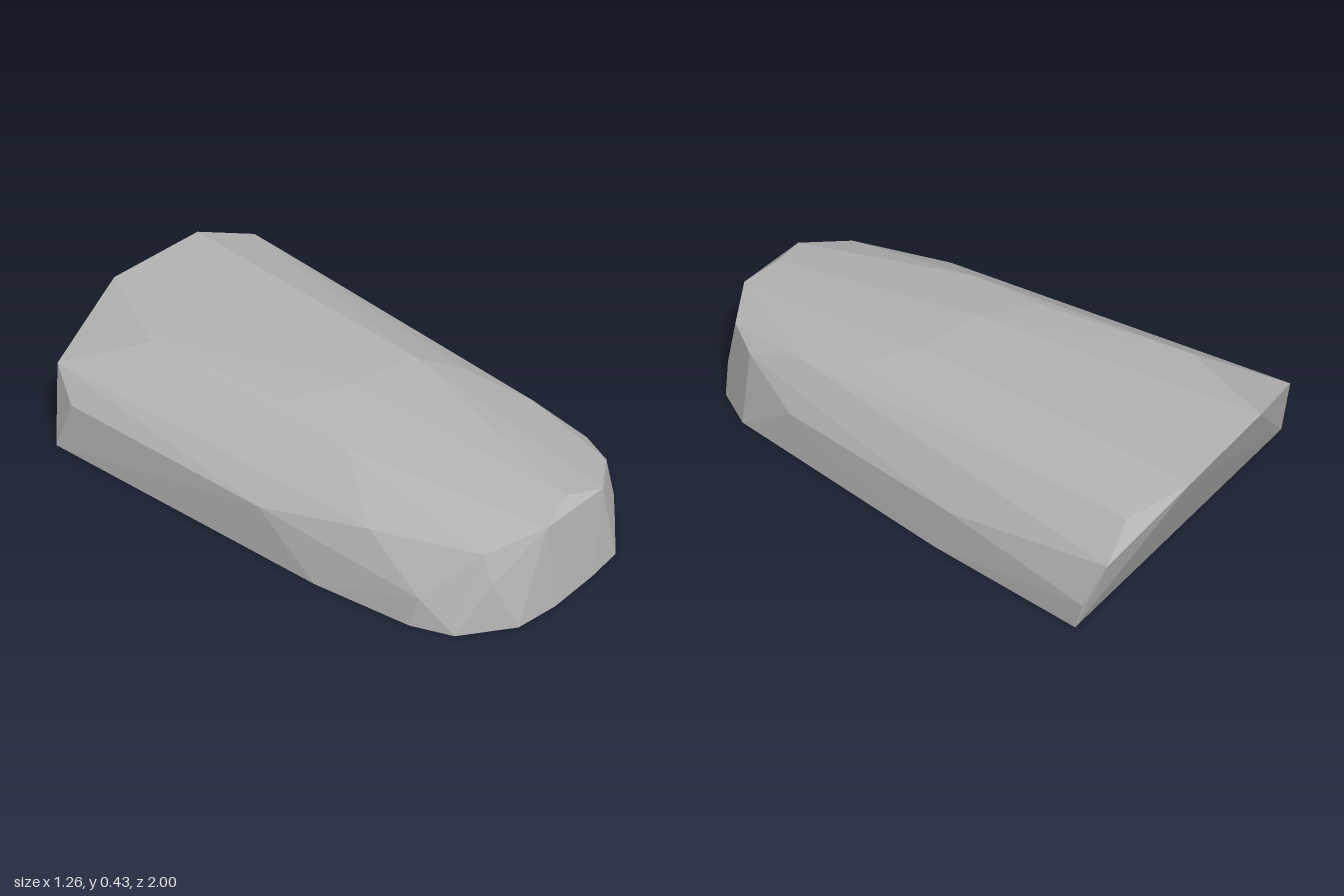
import * as THREE from 'three';
import { ConvexGeometry } from 'three/addons/geometries/ConvexGeometry.js';

export function createModel() {
  const group = new THREE.Group();
  const grey = new THREE.MeshStandardMaterial({ color: 0xb4b4b4 });
  grey.name = 'plain grey';

  // flat underside outline, [x, z]
  const base = [
    [-0.63, -0.84], [-0.55, 0.35], [-0.49, 0.71], [-0.43, 0.85], [-0.26, 0.975], [-0.1, 1],
    [0.1, 1], [0.24, 0.99], [0.41, 0.86], [0.495, 0.7], [0.6, -0.25], [0.63, -0.84],
  ].map(([x, z]) => [x, 0, z]);

  // overhanging rear rim, [x, y, z]
  const rear = [
    [-0.6, 0.195, -0.77], [-0.54, 0.285, -0.9], [-0.17, 0.425, -0.995], [0.255, 0.42, -1],
    [0.455, 0.36, -0.9], [0.57, 0.25, -0.91], [0.625, 0.1, -0.86],
  ];

  // rounded sides and crown
  const body = [
    [-0.34, 0.405, -0.62], [-0.55, 0.19, 0.1], [-0.27, 0.4, -0.05], [-0.3, 0.375, 0.27],
    [-0.06, 0.418, 0.08], [0.2, 0.415, 0.12], [0.32, 0.36, 0.27], [0.39, 0.31, 0.5],
    [0.58, 0.16, -0.3], [0.5, 0.155, 0.46], [-0.45, 0.26, 0.5],
  ];

  // blunt nose
  const nose = [
    [-0.47, 0.115, 0.73], [-0.32, 0.28, 0.865], [-0.13, 0.33, 0.965], [0.02, 0.35, 0.925],
    [0.165, 0.315, 0.965], [0.335, 0.275, 0.855], [0.415, 0.25, 0.715], [0.37, 0.115, 0.875],
    [-0.32, 0.18, 0.905],
  ];

  // faceted skin stretched over all the corner points
  const points = [...base, ...rear, ...body, ...nose].map((p) => new THREE.Vector3(...p));
  const shell = new THREE.Mesh(new ConvexGeometry(points), grey);
  shell.name = 'facetedShell';
  group.add(shell);
  return group;
}
